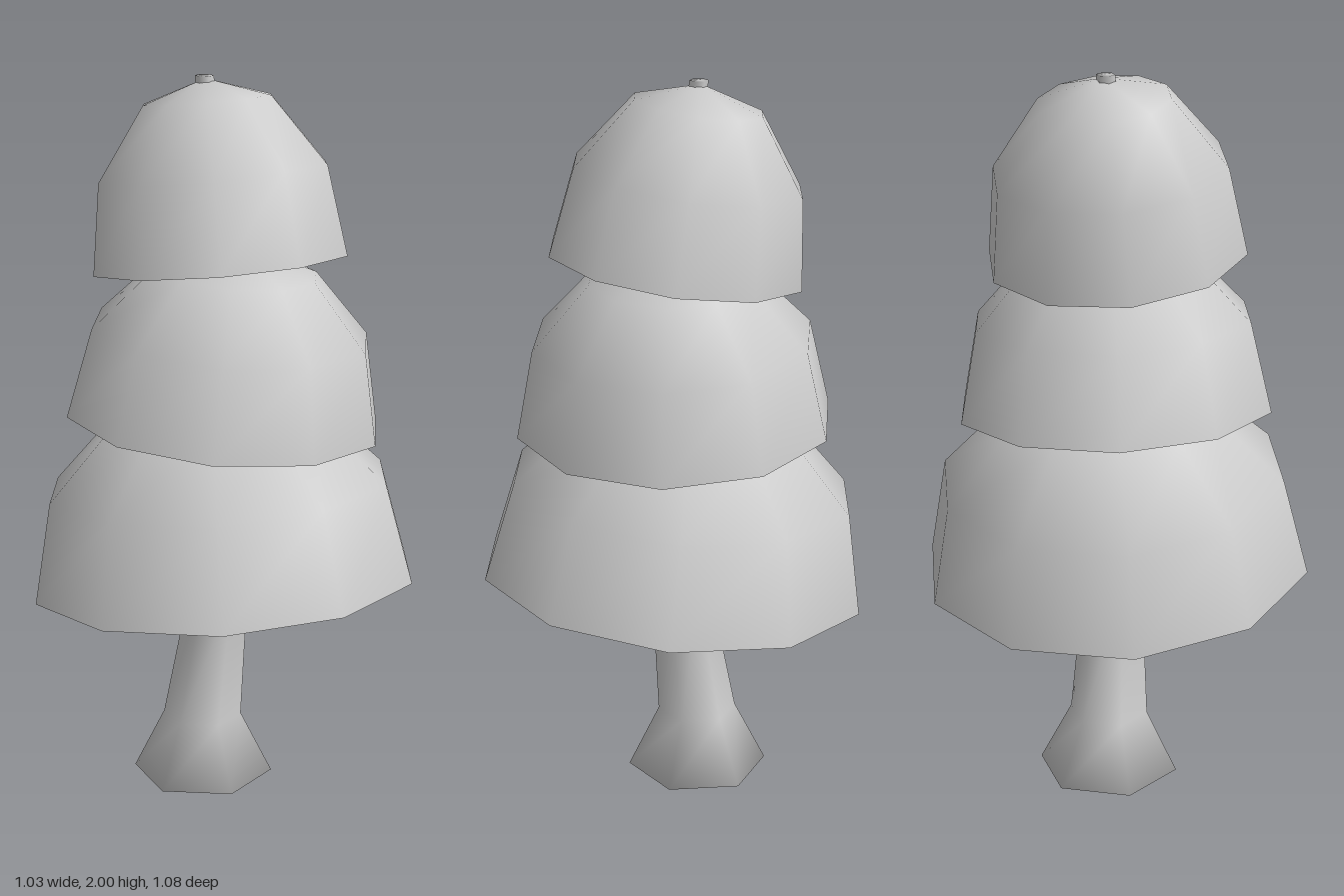
import * as THREE from 'three';

// Smooth skin over horizontal rings [x, y, z, radius]; a zero radius makes a pole.
function loft(rings, sides, spin = 0) {
  const pos = [], index = [];
  const starts = rings.map(([x, y, z, r]) => {
    const start = pos.length / 3;
    for (let i = 0; i < (r ? sides : 1); i++) {
      const a = spin + (i / sides) * Math.PI * 2;
      pos.push(x + r * Math.sin(a), y, z + r * Math.cos(a));
    }
    return start;
  });
  for (let k = 0; k < rings.length - 1; k++) {
    const at = (ring, i) => starts[ring] + (rings[ring][3] ? i % sides : 0);
    for (let i = 0; i < sides; i++) {
      const a = at(k, i), b = at(k, i + 1), c = at(k + 1, i + 1), d = at(k + 1, i);
      if (a !== b) index.push(a, b, c);
      if (c !== d) index.push(a, c, d);
    }
  }
  const geo = new THREE.BufferGeometry();
  geo.setAttribute('position', new THREE.Float32BufferAttribute(pos, 3));
  geo.setIndex(index);
  geo.computeVertexNormals();
  return geo;
}

export function createModel() {
  const tree = new THREE.Group();
  tree.name = 'tree';
  const add = (name, geo, side) => {
    const mesh = new THREE.Mesh(geo, new THREE.MeshStandardMaterial({ color: 0xcccccc, side }));
    mesh.name = name;
    tree.add(mesh);
    return mesh;
  };

  // Bent trunk with a flared foot, its tip just poking out of the crown
  add('trunk', loft([
    [-0.08, 0, -0.007, 0],
    [-0.08, 0, -0.007, 0.197],
    [-0.08, 0.175, -0.005, 0.11],
    [-0.025, 0.55, -0.005, 0.083],
    [-0.015, 1.05, -0.003, 0.063],
    [-0.005, 1.42, 0, 0.048],
    [-0.073, 2, -0.013, 0.025],
    [-0.073, 2, -0.013, 0],
  ], 6), THREE.FrontSide);

  // Three tilted foliage shells, open underneath; rings are [height, radius]
  const tiers = [
    { name: 'lowerFoliage', at: [0, 0.608, 0], tilt: [-0.028, 0.093], spin: -0.02,
      rings: [[0, 0.54], [0.275, 0.48], [0.47, 0.285], [0.54, 0]] },
    { name: 'middleFoliage', at: [-0.003, 1.072, -0.003], tilt: [-0.046, -0.064], spin: -0.075,
      rings: [[0, 0.437], [0.245, 0.385], [0.415, 0.225], [0.485, 0]] },
    { name: 'upperFoliage', at: [-0.01, 1.508, 0.003], tilt: [-0.05, 0.135], spin: -0.01,
      rings: [[0, 0.353], [0.242, 0.317], [0.432, 0.178], [0.488, 0]] },
  ];
  for (const { name, at, tilt, spin, rings } of tiers) {
    const geo = loft(rings.map(([y, r]) => [0, y, 0, r]), 10, spin);
    const shell = add(name, geo, THREE.DoubleSide);
    shell.position.set(...at);
    shell.rotation.set(tilt[0], 0, tilt[1]);
  }
  return tree;
}
